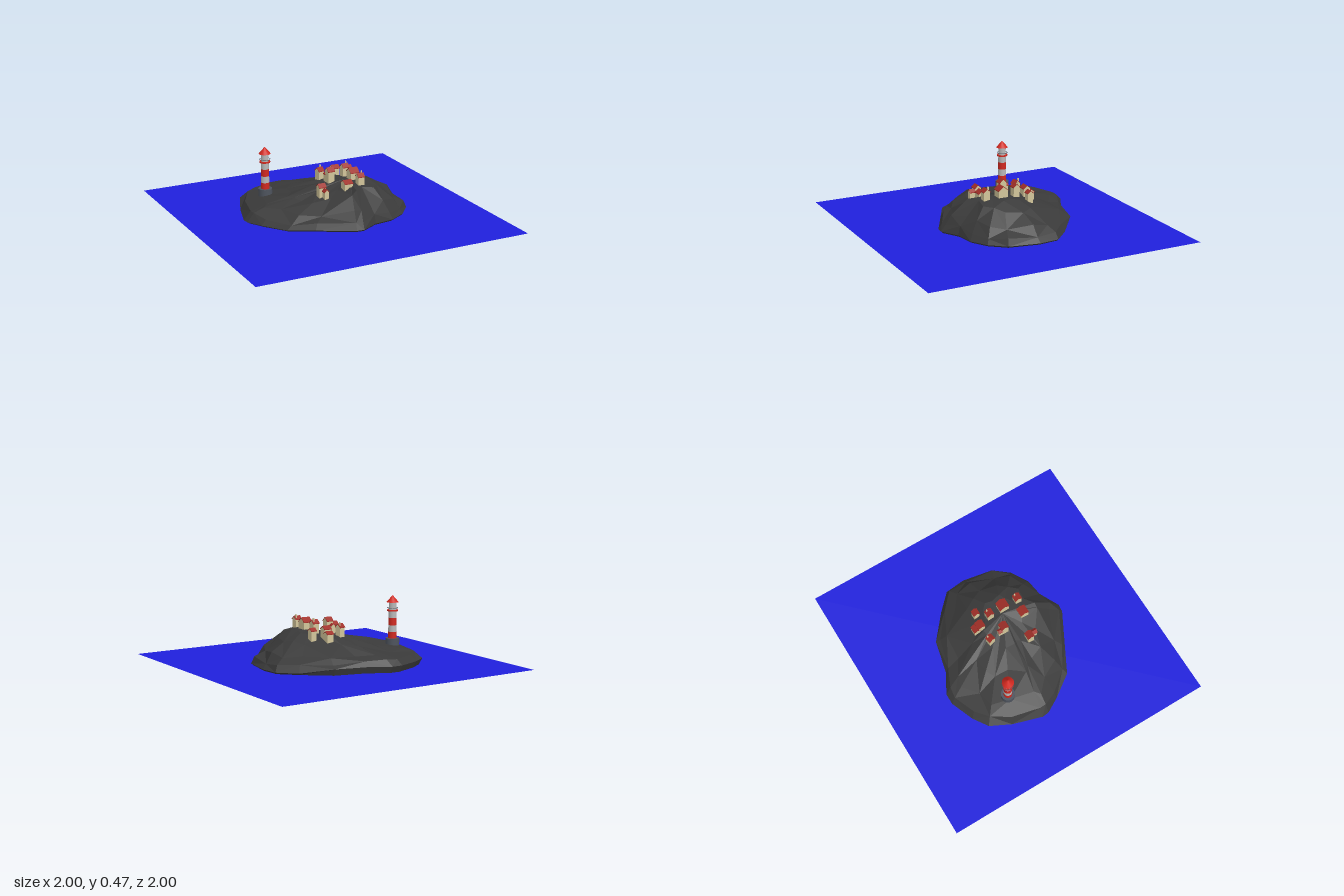
import * as THREE from 'three';

const mat = (color, flatShading = true) => new THREE.MeshStandardMaterial({ color, flatShading });
const seaMat = new THREE.MeshStandardMaterial({ color: 0x1f1fdc, side: THREE.DoubleSide });
const rock = mat(0x3a3a3a), red = mat(0xd0281f, false), white = mat(0xb8b8b8, false);
const stone = mat(0x4e545e, false), wall = mat(0xd2c59a), tile = mat(0xa02f28);

function add(parent, name, geometry, material, x = 0, y = 0, z = 0) {
  const mesh = new THREE.Mesh(geometry, material);
  mesh.name = name;
  mesh.position.set(x, y, z);
  parent.add(mesh);
  return mesh;
}

// Shore points clockwise from the left: x, z, then heights on the way out from the summit
const SHORE = [
  [-0.61, -0.07, 0.185, 0.145, 0.12, 0.07],
  [-0.545, -0.28, 0.19, 0.14, 0.115, 0.08],
  [-0.48, -0.43, 0.19, 0.14, 0.11, 0.09],
  [-0.375, -0.5, 0.195, 0.145, 0.105, 0.085],
  [-0.21, -0.565, 0.205, 0.15, 0.1, 0.09],
  [-0.13, -0.565, 0.215, 0.16, 0.11, 0.085],
  [0.015, -0.485, 0.22, 0.16, 0.105, 0.08],
  [0.245, -0.43, 0.22, 0.165, 0.1, 0.07],
  [0.43, -0.28, 0.225, 0.175, 0.11, 0.06],
  [0.545, -0.165, 0.23, 0.185, 0.1, 0.06],
  [0.56, -0.02, 0.24, 0.18, 0.115, 0.05],
  [0.52, 0.2, 0.24, 0.19, 0.1, 0.055],
  [0.43, 0.31, 0.24, 0.205, 0.12, 0.05],
  [0.31, 0.38, 0.24, 0.22, 0.13, 0.06],
  [0.165, 0.4, 0.24, 0.23, 0.14, 0.07],
  [0.04, 0.47, 0.24, 0.225, 0.125, 0.06],
  [-0.015, 0.465, 0.235, 0.205, 0.115, 0.06],
  [-0.26, 0.335, 0.2, 0.165, 0.09, 0.05],
  [-0.43, 0.245, 0.19, 0.14, 0.09, 0.04],
  [-0.545, 0.085, 0.185, 0.14, 0.1, 0.05],
  [-0.605, -0.02, 0.18, 0.145, 0.11, 0.07],
];

function islandGeometry() {
  const cx = 0.12, cz = 0.05, n = SHORE.length, steps = [0.3, 0.55, 0.8, 0.94, 1, 0.97];
  const pos = [cx, 0.24, cz], index = [];
  steps.forEach((t, r) => SHORE.forEach(([x, z, ...h], j) => {
    // Uneven rings break the slope into irregular facets
    const k = r < 4 ? t + 0.035 * Math.sin(j * 2.4 + r * 1.9) * (r < 3 ? 1 : 0.4) : t;
    const edge = z < -0.4 ? 0.045 : 0.012;
    const y = r < 4 ? h[r] + 0.006 * Math.sin(j * 4.1 + r * 2.3) * (r ? 1 : 0) : r === 4 ? edge : 0;
    pos.push(cx + (x - cx) * k, y, cz + (z - cz) * k);
  }));
  for (let j = 0; j < n; j++) {
    const q = (j + 1) % n;
    index.push(0, 1 + q, 1 + j);
    for (let r = 0; r < steps.length - 1; r++) {
      const a = 1 + r * n + j, b = 1 + r * n + q, c = a + n, d = b + n;
      if ((j + r) % 2) index.push(a, b, d, a, d, c);
      else index.push(a, b, c, b, d, c);
    }
  }
  const g = new THREE.BufferGeometry();
  g.setAttribute('position', new THREE.Float32BufferAttribute(pos, 3));
  g.setIndex(index);
  g.computeVertexNormals();
  return g;
}

// Extrudes a z-y outline along x, centred
function alongX(points, length) {
  const shape = new THREE.Shape(points.map(([a, b]) => new THREE.Vector2(a, b)));
  return new THREE.ExtrudeGeometry(shape, { depth: length, bevelEnabled: false })
    .translate(0, 0, -length / 2).rotateY(Math.PI / 2);
}

// Gabled house: base height, eave and ridge heights are absolute
function house(parent, { x, z, w, d, base, eave, ridge, turn = 0, chimney = false }) {
  const g = new THREE.Group();
  g.name = 'house';
  g.position.set(x, 0, z);
  g.rotation.y = turn;
  const s = d / 2, o = s + 0.004, drop = (ridge - eave) * 0.004 / s, th = 0.005;
  add(g, 'houseWalls', alongX([[-s, base], [s, base], [s, eave], [0, ridge - th], [-s, eave]], w), wall);
  add(g, 'houseRoof', alongX([[-o, eave - drop], [0, ridge - th], [o, eave - drop],
    [o, eave - drop + th], [0, ridge], [-o, eave - drop + th]], w + 0.004), tile);
  if (chimney) add(g, 'chimney', new THREE.BoxGeometry(0.008, 0.03, 0.008), wall, w * 0.3, ridge - 0.004, -s * 0.5);
  parent.add(g);
}

function lighthouse() {
  const g = new THREE.Group();
  g.name = 'lighthouse';
  g.position.set(-0.38, 0, -0.215);
  const ring = (name, material, y0, y1, r0, r1 = r0) =>
    add(g, name, new THREE.CylinderGeometry(r1, r0, y1 - y0, 16), material, 0, (y0 + y1) / 2, 0);
  ring('lighthouseBase', stone, 0.08, 0.165, 0.049);
  // Tapering tower in alternating bands
  const levels = [0.165, 0.21, 0.257, 0.308, 0.357];
  const radius = y => 0.031 - (y - 0.165) * 0.02;
  for (let i = 0; i < 4; i++)
    ring('towerBand', i % 2 ? white : red, levels[i], levels[i + 1], radius(levels[i]), radius(levels[i + 1]));
  ring('gallery', red, 0.355, 0.364, 0.038);
  ring('lanternRoom', white, 0.364, 0.42, 0.027);
  ring('lanternRoof', red, 0.418, 0.466, 0.042, 0.001);
  const rail = add(g, 'galleryRail', new THREE.TorusGeometry(0.037, 0.0015, 6, 20), stone, 0, 0.378, 0);
  rail.rotation.x = Math.PI / 2;
  return g;
}

export function createModel() {
  const model = new THREE.Group();
  model.name = 'lighthouseIsland';
  add(model, 'sea', new THREE.PlaneGeometry(2, 2).rotateX(-Math.PI / 2), seaMat);
  add(model, 'island', islandGeometry(), rock);
  model.add(lighthouse());

  // Village on the summit
  const village = new THREE.Group();
  village.name = 'village';
  model.add(village);
  [
    { x: 0, z: -0.125, w: 0.045, d: 0.045, base: 0.19, eave: 0.265, ridge: 0.29, turn: 0.2, chimney: true },
    { x: 0.123, z: -0.17, w: 0.052, d: 0.045, base: 0.16, eave: 0.235, ridge: 0.255 },
    { x: 0.123, z: -0.135, w: 0.055, d: 0.05, base: 0.17, eave: 0.265, ridge: 0.288 },
    { x: 0.22, z: -0.115, w: 0.042, d: 0.04, base: 0.18, eave: 0.258, ridge: 0.278 },
    { x: 0.02, z: -0.005, w: 0.05, d: 0.05, base: 0.21, eave: 0.295, ridge: 0.322 },
    { x: 0.01, z: -0.04, w: 0.03, d: 0.026, base: 0.21, eave: 0.265, ridge: 0.28, turn: Math.PI / 2 },
    { x: 0.155, z: -0.04, w: 0.048, d: 0.046, base: 0.21, eave: 0.295, ridge: 0.32, chimney: true },
    { x: 0.16, z: 0.07, w: 0.064, d: 0.068, base: 0.21, eave: 0.29, ridge: 0.322 },
    { x: -0.112, z: 0.125, w: 0.052, d: 0.045, base: 0.16, eave: 0.238, ridge: 0.262 },
    { x: -0.1, z: 0.165, w: 0.045, d: 0.03, base: 0.16, eave: 0.215, ridge: 0.235, turn: Math.PI / 2 },
    { x: 0.06, z: 0.175, w: 0.06, d: 0.058, base: 0.2, eave: 0.255, ridge: 0.278 },
    { x: 0.155, z: 0.187, w: 0.048, d: 0.046, base: 0.2, eave: 0.292, ridge: 0.316, chimney: true },
  ].forEach(h => house(village, h));
  return model;
}
